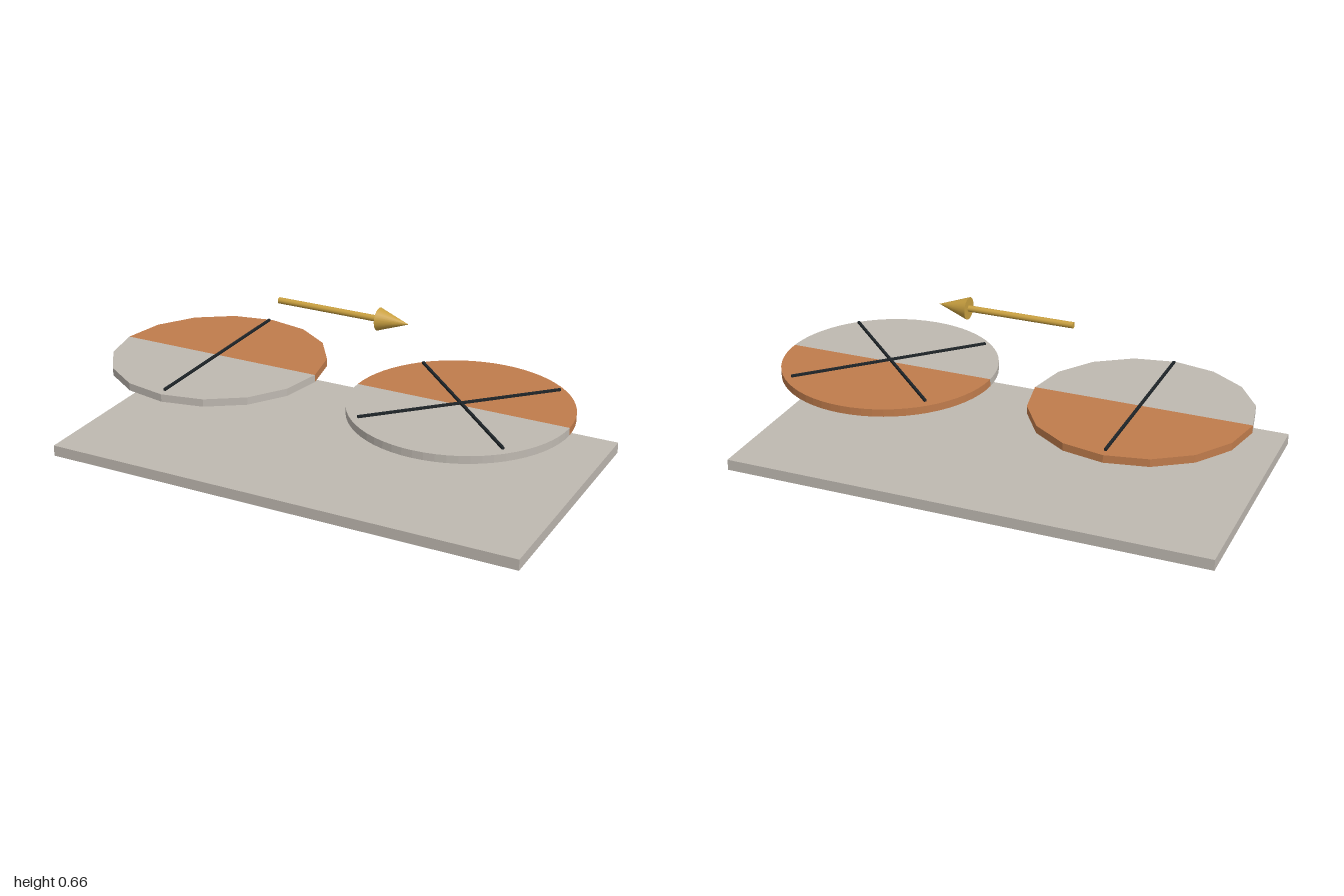
import * as THREE from 'three';

const mat = (name, color) => {
  const m = new THREE.MeshStandardMaterial({ color });
  m.name = name;
  return m;
};

export function createModel() {
  const stone = mat('stone grey', 0xbfb9b1);
  const copper = mat('copper orange', 0xc07c4c);
  const ink = mat('dark ink', 0x1e2428);
  const gold = mat('gold', 0xc9a040);

  const model = new THREE.Group();
  model.name = 'twoDiscDiagram';

  const add = (parent, name, geometry, material, x = 0, y = 0, z = 0) => {
    const mesh = new THREE.Mesh(geometry, material);
    mesh.name = name;
    mesh.position.set(x, y, z);
    parent.add(mesh);
    return mesh;
  };

  // Faceted half of a disc, its flat diameter along x
  const halfDisc = (sides, start) => {
    const g = new THREE.CylinderGeometry(0.44, 0.44, 0.031, sides / 2, 1, false, start, Math.PI).toNonIndexed();
    g.computeVertexNormals();
    return g;
  };

  // Two-tone disc with thin bars floating just above it
  const disc = (name, x, sides, barAngles) => {
    const group = new THREE.Group();
    group.name = name;
    group.position.set(x, 0.3125, 0);
    add(group, 'frontHalf', halfDisc(sides, -Math.PI / 2), stone);
    add(group, 'backHalf', halfDisc(sides, Math.PI / 2), copper);
    for (const angle of barAngles) {
      const bar = add(group, 'axisBar', new THREE.BoxGeometry(0.01, 0.009, 0.83), ink, 0, 0.0255, 0);
      bar.rotation.y = angle;
    }
    model.add(group);
  };

  // Base slab
  add(model, 'base', new THREE.BoxGeometry(2, 0.045, 1.066), stone, 0, 0.0225, 0);

  // Coarse disc with one bar, fine disc with a cross
  disc('coarseDisc', -0.537, 16, [0]);
  disc('fineDisc', 0.534, 64, [Math.PI / 4, -Math.PI / 4]);

  // Arrow pointing to +x
  const arrow = new THREE.Group();
  arrow.name = 'arrow';
  arrow.position.y = 0.618;
  arrow.rotation.z = -Math.PI / 2;
  add(arrow, 'arrowShaft', new THREE.CylinderGeometry(0.0125, 0.0125, 0.437, 24), gold, 0, -0.0355, 0);
  add(arrow, 'arrowHead', new THREE.ConeGeometry(0.045, 0.126, 24), gold, 0, 0.246, 0);
  model.add(arrow);

  return model;
}
